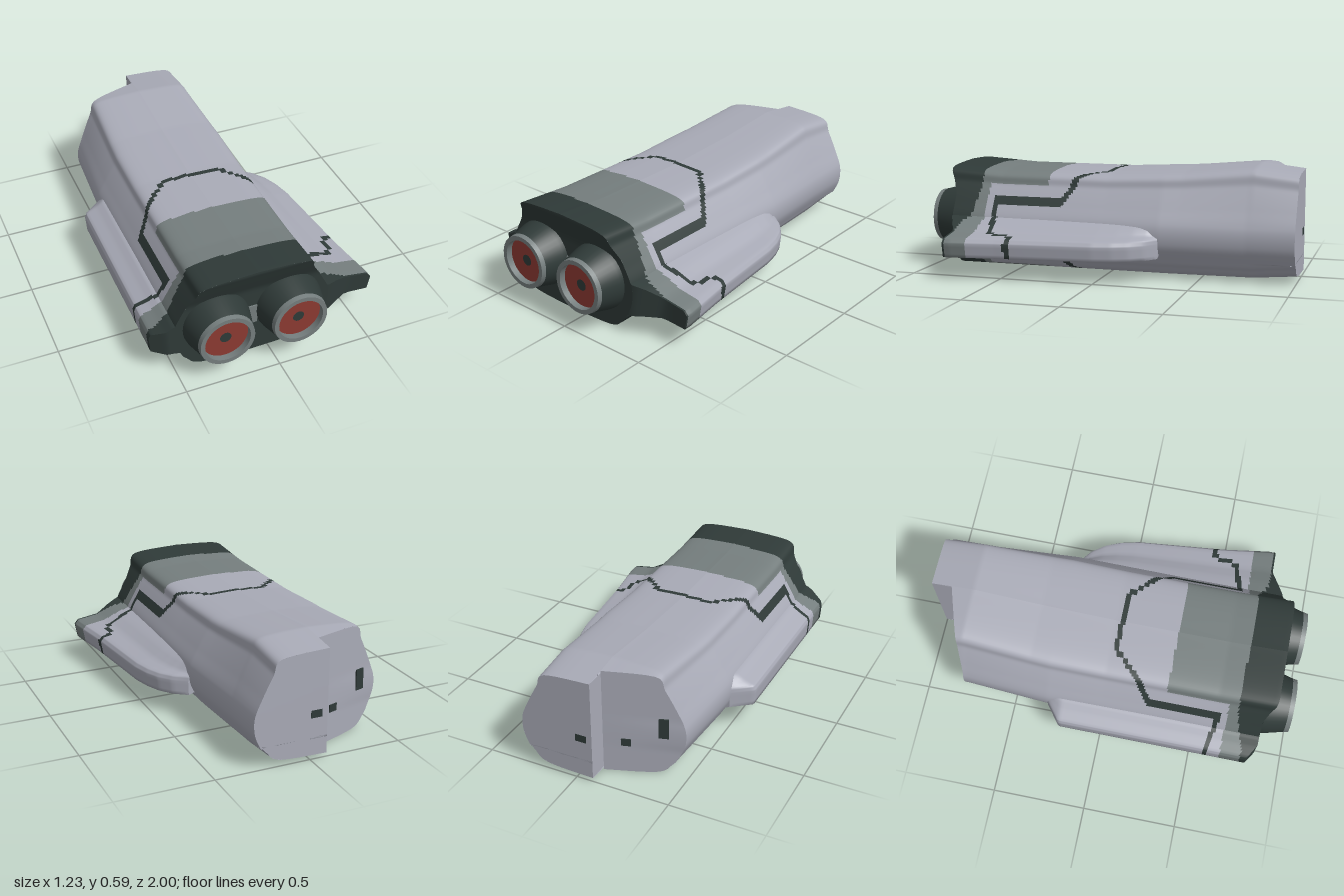
import * as THREE from 'three';

const mat = (name, color, side = THREE.FrontSide) => {
  const m = new THREE.MeshStandardMaterial({ color, side });
  m.name = name;
  return m;
};
const CX = -0.09; // ridge line of the hull
const lerp = THREE.MathUtils.lerp;
const clamp = THREE.MathUtils.clamp;

// piecewise linear lookup in a list of [key, value]
function table(list, k) {
  for (let i = 1; i < list.length; i++) {
    const [a, va] = list[i - 1], [b, vb] = list[i];
    if (k <= b) return lerp(va, vb, clamp((k - a) / (b - a), 0, 1));
  }
  return list[list.length - 1][1];
}

function nearLine(pts, x, z, r) {
  for (let i = 1; i < pts.length; i++) {
    const [ax, az] = pts[i - 1], [bx, bz] = pts[i];
    const dx = bx - ax, dz = bz - az;
    const t = clamp(((x - ax) * dx + (z - az) * dz) / (dx * dx + dz * dz), 0, 1);
    if (Math.hypot(x - ax - t * dx, z - az - t * dz) < r) return true;
  }
  return false;
}

// paint scheme: 0 hull, 1 grey, 2 dark
const seam = [[0, 0.03], [0.15, 0.03], [0.36, 0.24], [0.36, 0.615], [0.56, 0.575]];
const leftSeam = [[0.57, 0.575], [0.6, 0.44], [0.68, 0.45]];
function paint(x, y, z) {
  const ax = Math.abs(x - CX);
  if (z > 0.71 + clamp((ax - 0.33) * 0.4, 0, 0.06)) return 2;
  if (nearLine(seam, ax, z, 0.013)) return 2;
  if (x > 0.4 && nearLine(leftSeam, ax, z, 0.013)) return 2;
  if (z > 0.66 || (ax < 0.31 && z > 0.33)) return 1;
  return 0;
}

// surface over a u,v grid, faces sorted into paint groups
function gridMesh(name, nu, nv, fn, flip, mats, rule) {
  const pos = [], sets = mats.map(() => []);
  for (let i = 0; i <= nu; i++)
    for (let j = 0; j <= nv; j++) pos.push(...fn(i / nu, j / nv));
  const mid = (a, b, k) => (pos[a * 3 + k] + pos[b * 3 + k]) / 2;
  for (let i = 0; i < nu; i++)
    for (let j = 0; j < nv; j++) {
      const a = i * (nv + 1) + j, b = a + 1, c = a + nv + 1, d = c + 1;
      const set = sets[rule ? rule(mid(a, d, 0), mid(a, d, 1), mid(a, d, 2)) : 0];
      set.push(...(flip ? [a, b, c, b, d, c] : [a, c, b, b, c, d]));
    }
  const g = new THREE.BufferGeometry();
  g.setAttribute('position', new THREE.Float32BufferAttribute(pos, 3));
  g.setIndex(sets.flat());
  let start = 0;
  sets.forEach((s, k) => { if (s.length) g.addGroup(start, s.length, k); start += s.length; });
  g.computeVertexNormals();
  const m = new THREE.Mesh(g, mats.length > 1 ? mats : mats[0]);
  m.name = name;
  return m;
}

// half cross-section from the ridge down to the keel
const half = new THREE.SplineCurve([
  [0, 0.546], [0.265, 0.528], [0.315, 0.46], [0.37, 0.37], [0.415, 0.28], [0.415, 0.19],
  [0.38, 0.11], [0.35, 0.068], [0.27, 0.015], [0, 0.002],
].map(p => new THREE.Vector2(...p)));
const lift = [[-1, 0.021], [-0.77, 0.047], [-0.4, 0.012], [0, -0.008], [0.6, -0.006], [0.9, 0.014]];
const width = [[-1, 0.93], [-0.75, 0.94], [-0.3, 1.01], [0.3, 1], [0.85, 1]];

function bodyPoint(s, u, v) {
  const p = half.getPoint(v);
  const zFront = 0.85 + 0.055 * clamp((p.y - 0.4) / 0.13, 0, 1);
  const zBack = s > 0 ? -1 : -0.89 + 0.12 * Math.min(1, p.x / 0.4);
  const z = lerp(zBack, zFront, u);
  let y = p.y + table(lift, z) * clamp((p.y - 0.3) / 0.22, 0, 1);
  if (s > 0 && p.y < 0.1) y += 0.02 * clamp((-0.77 - z) / 0.23, 0, 1);
  return [CX + s * p.x * table(width, z), Math.max(0, y), z];
}

// outer edge of each wing by z
const tipLeft = [[-0.3, 0.34], [-0.25, 0.41], [-0.18, 0.465], [-0.1, 0.5], [0, 0.525], [0.45, 0.572], [0.8, 0.615]];
const tipRight = [[-0.3, 0.51], [-0.22, 0.618], [0.85, 0.618]];

function wingPoint(s, u, v) {
  const z0 = lerp(-0.3, 0.85, u);
  const root = s > 0 ? 0.27 : 0.45;
  const tip = table(s > 0 ? tipLeft : tipRight, z0);
  const top = s > 0 ? 0.22 : 0.25, low = s > 0 ? 0.12 : 0.14;
  // front half follows the raised root, tip stays thin
  const sec = [[0, 0.31], [0.35, s > 0 ? 0.275 : 0.3], [0.6, s > 0 ? 0.238 : 0.275], [0.94, top], [1, top - 0.025],
    [0.96, low], [0.55, 0.13], [0.3, 0.125], [0, 0.11]];
  const k = Math.min(7, Math.floor(v * 8)), t = v * 8 - k;
  const f = lerp(sec[k][0], sec[k + 1][0], t);
  const x = root + f * (tip - root);
  const cut = s > 0 ? 0.07 * clamp((x - 0.33) / 0.14, 0, 1) : 0.05 * clamp((x - 0.54) / 0.08, 0, 1);
  return [s * x, lerp(sec[k][1], sec[k + 1][1], t), z0 - cut * clamp((u - 0.7) / 0.3, 0, 1)];
}

export function createModel() {
  const hull = mat('hull grey', 0xa9abb7, THREE.DoubleSide);
  const grey = mat('panel grey', 0x757e7e, THREE.DoubleSide);
  const dark = mat('dark trim', 0x2f3a38, THREE.DoubleSide);
  const red = mat('engine red', 0x8c3a32);
  const model = new THREE.Group();
  const add = (geo, m, name, x, y, z, parent = model) => {
    const mesh = new THREE.Mesh(geo, m);
    mesh.name = name;
    mesh.position.set(x, y, z);
    parent.add(mesh);
    return mesh;
  };
  const paints = [hull, grey, dark];

  for (const s of [1, -1]) {
    const side = s > 0 ? 'left' : 'right', flip = s < 0;
    // hull half with its front and rear walls
    model.add(gridMesh(side + 'Hull', 140, 90, (u, v) => bodyPoint(s, u, v), flip, paints, paint));
    for (const e of [0, 1]) {
      const wall = (u, v) => {
        const p = bodyPoint(s, e, v);
        const zAxis = e ? p[2] : s > 0 ? -1 : -0.89;
        return [lerp(p[0], CX, u), p[1], lerp(p[2], zAxis, u)];
      };
      model.add(gridMesh(side + (e ? 'FrontWall' : 'RearWall'), 4, 45, wall, e ? flip : !flip, [e ? dark : hull]));
    }

    // wing with closed ends
    model.add(gridMesh(side + 'Wing', 90, 32, (u, v) => wingPoint(s, u, v), flip, paints, paint));
    for (const e of [0, 1]) {
      const end = (u, v) => {
        const a = wingPoint(s, e, v / 2), b = wingPoint(s, e, 1 - v / 2);
        return a.map((c, k) => lerp(c, b[k], u));
      };
      model.add(gridMesh(side + (e ? 'WingFront' : 'WingRear'), 1, 16, end, e ? flip : !flip, [e ? dark : hull]));
    }

    // engine nozzle
    const engine = new THREE.Group();
    engine.name = side + 'Engine';
    engine.position.set(CX + s * 0.194, 0.263, 0);
    model.add(engine);
    const ring = (pts, m, name) => {
      const g = new THREE.LatheGeometry(pts.map(p => new THREE.Vector2(...p)), 40);
      g.rotateX(Math.PI / 2);
      add(g, m, name, 0, 0, 0, engine);
    };
    ring([[0.176, 0.84], [0.172, 0.875], [0.146, 0.975]], dark, 'nozzle');
    ring([[0.146, 0.975], [0.142, 1]], grey, 'nozzleBand');
    ring([[0.142, 1], [0.119, 1]], grey, 'nozzleLip');
    ring([[0.119, 1], [0.119, 0.965]], grey, 'nozzleThroat');
    add(new THREE.CircleGeometry(0.12, 40), red, 'engineGlow', 0, 0, 0.966, engine);
    add(new THREE.CircleGeometry(0.03, 20), dark, 'engineCore', 0, 0, 0.97, engine);
  }

  // stepped wall between the long and short rear halves
  add(new THREE.PlaneGeometry(0.11, 0.545).rotateY(-Math.PI / 2), hull, 'rearStep', CX, 0.295, -0.945);
  // plate between the engines
  add(new THREE.BoxGeometry(0.05, 0.11, 0.008), grey, 'enginePlate', CX, 0.245, 0.853);
  // scorch plates on the slanted rear
  add(new THREE.BoxGeometry(0.05, 0.11, 0.008), dark, 'rearPatch', -0.38, 0.28, -0.803).rotation.y = 0.3;
  add(new THREE.BoxGeometry(0.05, 0.04, 0.008), dark, 'rearPatch', -0.2, 0.18, -0.857).rotation.y = 0.3;
  add(new THREE.BoxGeometry(0.06, 0.04, 0.008), dark, 'rearPatch', -0.03, 0.24, -0.997);
  return model;
}
